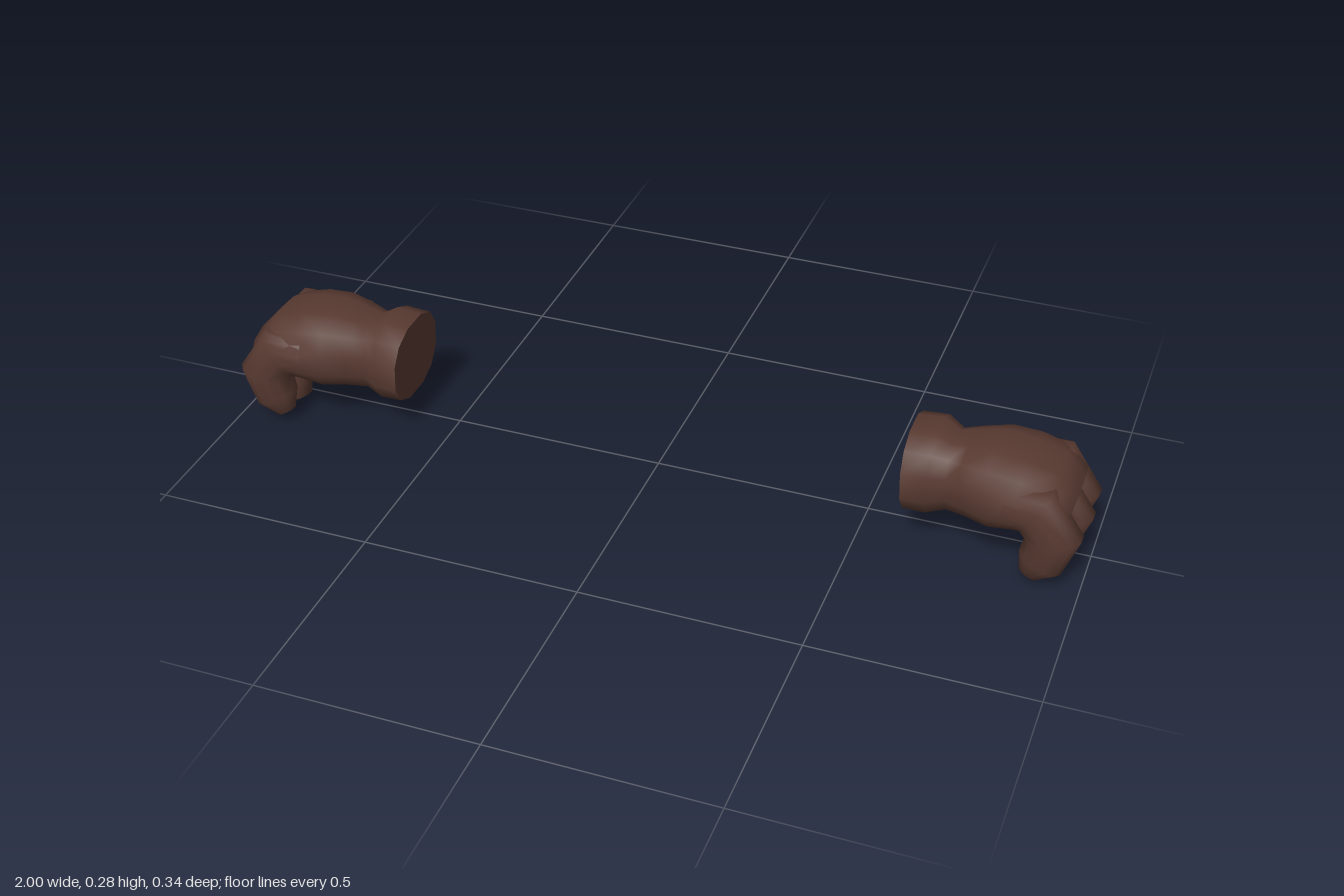
import * as THREE from 'three';

const SIDES = 12;
const skin = new THREE.MeshStandardMaterial({ color: 0x583a31 });
skin.name = 'brownSkin';

// Lofts rounded sections [x, y, z, thickness, width] along a path; axis is the width direction.
// mirror = -1 builds the opposite hand.
function loft(name, sections, axis, mirror, { power = 1, flatStart = false } = {}) {
  const pos = [], index = [];
  const centres = sections.map(s => new THREE.Vector3(s[0], s[1], s[2]));
  const shape = a => Math.sign(a) * Math.pow(Math.abs(a), power);
  const push = p => pos.push(p.x * mirror, p.y, p.z) / 3 - 1;
  const tri = (a, b, c) => (mirror > 0 ? index.push(a, b, c) : index.push(a, c, b));
  const ring = i => {
    const last = sections.length - 1;
    const t = centres[Math.min(i + 1, last)].clone().sub(centres[Math.max(i - 1, 0)]).normalize();
    const u = axis.clone().addScaledVector(t, -axis.dot(t)).normalize();
    const v = t.cross(u);
    const [, , , thick, width] = sections[i];
    return Array.from({ length: SIDES }, (_, j) => {
      const a = ((j + 0.5) / SIDES) * Math.PI * 2;
      return push(centres[i].clone()
        .addScaledVector(u, shape(Math.cos(a)) * width)
        .addScaledVector(v, shape(Math.sin(a)) * thick));
    });
  };
  const rings = sections.map((_, i) => ring(i));
  for (let i = 0; i < rings.length - 1; i++) {
    for (let j = 0; j < SIDES; j++) {
      const k = (j + 1) % SIDES;
      tri(rings[i][j], rings[i][k], rings[i + 1][j]);
      tri(rings[i][k], rings[i + 1][k], rings[i + 1][j]);
    }
  }
  // End caps; a flat start gets its own ring so that its edge stays sharp
  const first = flatStart ? ring(0) : rings[0];
  const end = rings[rings.length - 1];
  const c0 = push(centres[0]);
  const c1 = push(centres[centres.length - 1]);
  for (let j = 0; j < SIDES; j++) {
    const k = (j + 1) % SIDES;
    tri(c0, first[k], first[j]);
    tri(c1, end[j], end[k]);
  }
  const geo = new THREE.BufferGeometry();
  geo.setAttribute('position', new THREE.Float32BufferAttribute(pos, 3));
  geo.setIndex(index);
  geo.computeVertexNormals();
  const mesh = new THREE.Mesh(geo, skin);
  mesh.name = name;
  return mesh;
}

function createHand(name, mirror) {
  const hand = new THREE.Group();
  hand.name = name;
  const X = new THREE.Vector3(1, 0, 0);
  const Z = new THREE.Vector3(0, 0, 1);

  // Wrist cuff, neck and palm
  hand.add(loft('wristAndPalm', [
    [0.595, 0.175, 0.02, 0.098, 0.112],
    [0.65, 0.177, 0.02, 0.101, 0.112],
    [0.69, 0.173, 0.02, 0.085, 0.09],
    [0.735, 0.18, 0.023, 0.088, 0.108],
    [0.79, 0.187, 0.03, 0.093, 0.13],
    [0.85, 0.19, 0.032, 0.082, 0.137],
    [0.905, 0.182, 0.033, 0.073, 0.135],
    [0.95, 0.165, 0.033, 0.045, 0.115],
  ], Z, mirror, { power: 0.85, flatStart: true }));

  // Three curled fingers: z of the knuckle, z of the tip, height of the tip, tip half width, reach
  [
    [0.124, 0.13, 0.024, 0.018, -0.008],
    [0.034, 0.043, 0.012, 0.029, 0],
    [-0.056, -0.048, 0.018, 0.028, -0.004],
  ].forEach(([z, tipZ, tipY, tipW, reach], i) => {
    hand.add(loft('finger' + (i + 1), [
      [0.82, 0.195, z, 0.045, 0.04],
      [0.897 + reach, 0.188, z, 0.063, 0.048],
      [0.94 + reach, 0.125, z, 0.062, 0.049],
      [0.918 + reach, 0.062, (z + tipZ) / 2, 0.052, 0.043],
      [0.895 + reach, tipY, tipZ, 0.024, tipW],
    ], Z, mirror, { power: 0.9 }));
  });

  // Thumb hanging at the back
  hand.add(loft('thumb', [
    [0.77, 0.205, -0.05, 0.045, 0.06],
    [0.795, 0.16, -0.095, 0.048, 0.078],
    [0.802, 0.095, -0.126, 0.043, 0.065],
    [0.8, 0.042, -0.142, 0.026, 0.038],
  ], X, mirror));
  return hand;
}

export function createModel() {
  const model = new THREE.Group();
  model.name = 'handPair';
  model.add(createHand('leftHand', 1), createHand('rightHand', -1));
  return model;
}
